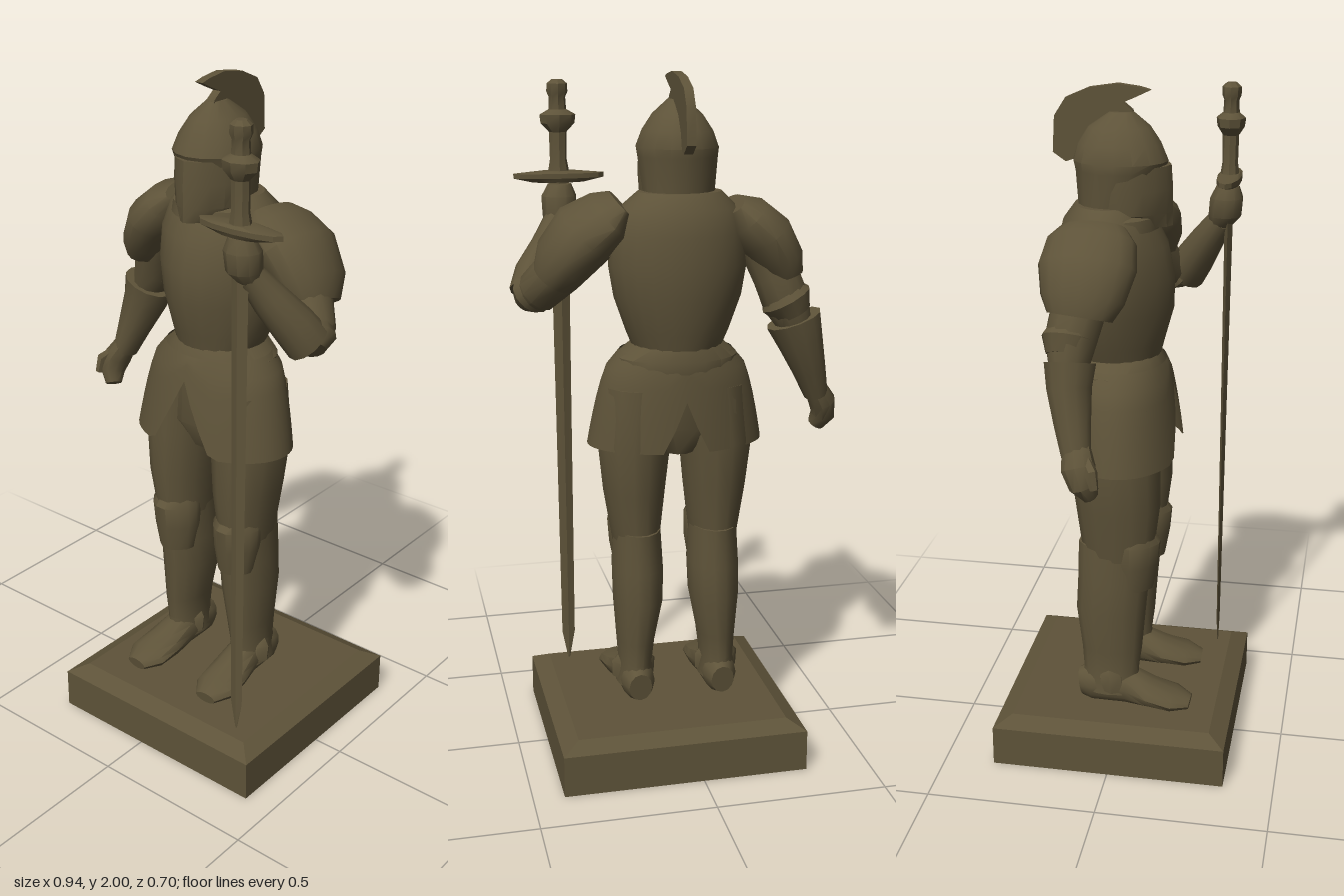
import * as THREE from 'three';
import { toCreasedNormals } from 'three/addons/utils/BufferGeometryUtils.js';

const bronze = new THREE.MeshStandardMaterial({ color: 0x5e5339, side: THREE.DoubleSide });
bronze.name = 'bronze';

function add(group, name, geometry, crease = 0.7) {
  const mesh = new THREE.Mesh(toCreasedNormals(geometry, crease), bronze);
  mesh.name = name;
  group.add(mesh);
  return mesh;
}

// Skin over elliptical sections [x, y, z, halfWidth, halfDepth, prow].
// Sections lie flat, or across the path when follow is true.
function loft(sections, { n = 14, follow = false } = {}) {
  const pos = [], idx = [];
  const at = (i) => new THREE.Vector3(...sections[i].slice(0, 3));
  const last = sections.length - 1;
  sections.forEach(([x, y, z, a, b, prow = 0], i) => {
    const t = follow ? at(Math.min(i + 1, last)).sub(at(Math.max(i - 1, 0))).normalize() : new THREE.Vector3(0, 1, 0);
    const X = new THREE.Vector3(1, 0, 0).addScaledVector(t, -t.x).normalize();
    const Z = X.clone().cross(t);
    for (let j = 0; j < n; j++) {
      const ang = j / n * Math.PI * 2, s = Math.sin(ang);
      const p = new THREE.Vector3(x, y, z).addScaledVector(X, Math.cos(ang) * a)
        .addScaledVector(Z, s * b + prow * Math.max(0, s) ** 6);
      pos.push(p.x, p.y, p.z);
    }
  });
  for (let i = 0; i < last; i++) for (let j = 0; j < n; j++) {
    const a = i * n + j, b = i * n + (j + 1) % n;
    idx.push(a, a + n, b, b, a + n, b + n);
  }
  [0, last].forEach((i, end) => {
    const c = pos.length / 3;
    pos.push(...sections[i].slice(0, 3));
    for (let j = 0; j < n; j++) {
      const a = i * n + j, b = i * n + (j + 1) % n;
      idx.push(c, end ? b : a, end ? a : b);
    }
  });
  const g = new THREE.BufferGeometry();
  g.setAttribute('position', new THREE.Float32BufferAttribute(pos, 3));
  g.setIndex(idx);
  g.computeVertexNormals();
  return g;
}
const limb = (sections, n = 12) => loft(sections, { n, follow: true });

// Flared skirt shell with an inverted V notch at front and back
function skirt() {
  const g = new THREE.CylinderGeometry(1, 1, 1, 48, 6, true);
  const p = g.attributes.position;
  for (let i = 0; i < p.count; i++) {
    const ang = Math.atan2(p.getX(i), p.getZ(i)), v = 0.5 - p.getY(i);
    const front = Math.max(0, 1 - Math.abs(ang) / 0.42);
    const back = Math.max(0, 1 - (Math.PI - Math.abs(ang)) / 0.25);
    const bottom = 0.94 + 0.21 * front + 0.15 * back;
    const y = 1.22 + (bottom - 1.22) * v, k = (1.22 - y) / 0.28;
    const flare = Math.sqrt(k);
    p.setXYZ(i, 0.01 + Math.sin(ang) * (0.165 + 0.095 * flare), y,
      -0.015 + 0.02 * k + Math.cos(ang) * (0.135 + 0.035 * flare));
  }
  g.computeVertexNormals();
  return g;
}

export function createModel() {
  const model = new THREE.Group();
  model.name = 'armouredStatue';

  // Plinth with a bevelled top
  const plinth = new THREE.CylinderGeometry(1, 1, 1, 4, 2);
  plinth.rotateY(Math.PI / 4);
  const pp = plinth.attributes.position;
  for (let i = 0; i < pp.count; i++) {
    const level = Math.round((pp.getY(i) + 0.5) * 2);
    const inset = level === 2 ? 0.05 : 0;
    const sx = Math.sign(Math.round(pp.getX(i) * 10)), sz = Math.sign(Math.round(pp.getZ(i) * 10));
    pp.setXYZ(i, 0.05 + sx * (0.36 - inset), [0, 0.122, 0.148][level], sz * (0.35 - inset));
  }
  add(model, 'plinth', plinth, 0.2);

  // Legs, knee guards and feet
  for (const s of [1, -1]) {
    const leg = new THREE.Group();
    leg.name = s > 0 ? 'leftLeg' : 'rightLeg';
    leg.position.x = 0.013;
    model.add(leg);
    const sec = (list) => list.map(([x, ...r]) => [s * x, ...r]);
    add(leg, 'thigh', loft(sec([[0.105, 1.12, -0.01, 0.11, 0.13], [0.122, 0.95, -0.01, 0.108, 0.135],
      [0.122, 0.8, 0, 0.092, 0.125], [0.118, 0.64, 0, 0.07, 0.105]])));
    add(leg, 'greave', loft(sec([[0.116, 0.68, -0.01, 0.07, 0.11], [0.116, 0.56, -0.015, 0.077, 0.108],
      [0.117, 0.46, -0.022, 0.075, 0.106], [0.125, 0.33, -0.018, 0.057, 0.092],
      [0.127, 0.26, -0.02, 0.05, 0.085], [0.128, 0.19, -0.02, 0.057, 0.09]])));
    add(leg, 'kneeGuard', loft(sec([[0.115, 0.54, 0.045, 0.06, 0.052, 0.01], [0.116, 0.62, 0.045, 0.074, 0.062, 0.015],
      [0.118, 0.69, 0.045, 0.077, 0.068, 0.015], [0.118, 0.725, 0.04, 0.06, 0.06]])));
    add(leg, 'foot', limb(sec([[0.127, 0.2, -0.115, 0.035, 0.045], [0.127, 0.205, -0.08, 0.05, 0.06],
      [0.127, 0.205, 0.03, 0.055, 0.06], [0.132, 0.187, 0.1, 0.065, 0.043],
      [0.138, 0.175, 0.175, 0.068, 0.03], [0.14, 0.167, 0.225, 0.035, 0.018]])));
    add(leg, 'ankleWing', loft(sec([[0.13, 0.2, -0.01, 0.064, 0.05], [0.13, 0.25, -0.015, 0.066, 0.045],
      [0.13, 0.275, -0.02, 0.045, 0.03]]), { n: 8 }));
  }

  // Hips, tassets and waist
  add(model, 'hips', loft([[0.01, 0.92, -0.01, 0.06, 0.09], [0.01, 1.0, -0.01, 0.17, 0.125], [0.01, 1.2, -0.015, 0.155, 0.125]]));
  add(model, 'tassets', skirt());
  add(model, 'waistFlange', loft([[0.01, 1.17, -0.015, 0.18, 0.147], [0.01, 1.205, -0.02, 0.178, 0.145],
    [0.01, 1.25, -0.025, 0.125, 0.125]], { n: 20 }));

  // Cuirass and neck
  add(model, 'cuirass', loft([[0.01, 1.22, -0.025, 0.125, 0.125], [0.01, 1.28, -0.03, 0.15, 0.135, 0.01],
    [0.01, 1.38, -0.035, 0.185, 0.152, 0.025], [0.01, 1.47, -0.037, 0.2, 0.155, 0.025],
    [0.01, 1.56, -0.04, 0.195, 0.148, 0.015], [0.008, 1.63, -0.045, 0.17, 0.128],
    [0.005, 1.675, -0.045, 0.12, 0.095]], { n: 24 }), 0.6);
  add(model, 'neckRim', loft([[0.005, 1.61, -0.015, 0.14, 0.115], [0.005, 1.645, -0.015, 0.135, 0.11],
    [0.005, 1.66, -0.015, 0.1, 0.09]], { n: 18 }));

  // Helmet: pointed face guard, stepped brow and domed skull
  add(model, 'faceGuard', loft([[0.005, 1.615, 0.01, 0.07, 0.09, 0.035], [0.005, 1.655, 0, 0.105, 0.105, 0.03],
    [0.005, 1.72, -0.005, 0.11, 0.115, 0.025], [0.005, 1.785, -0.005, 0.108, 0.115, 0.02]], { n: 20 }), 0.5);
  add(model, 'skull', loft([[0.005, 1.65, -0.035, 0.1, 0.095], [0.005, 1.77, -0.015, 0.114, 0.125],
    [0.005, 1.795, -0.012, 0.117, 0.134], [0.005, 1.84, -0.015, 0.1, 0.118],
    [0.005, 1.885, -0.015, 0.07, 0.088], [0.005, 1.925, -0.01, 0.025, 0.035]], { n: 16 }), 0.6);
  const crest = new THREE.Shape([[0.07, 1.984], [0.04, 1.992], [-0.02, 2], [-0.1, 1.988], [-0.165, 1.96],
    [-0.197, 1.91], [-0.202, 1.81], [-0.165, 1.785], [-0.125, 1.8], [-0.05, 1.87], [0.03, 1.9],
    [0.02, 1.93], [-0.005, 1.95], [0.03, 1.965]].map(([z, y]) => new THREE.Vector2(z, y)));
  const crestGeo = new THREE.ExtrudeGeometry(crest, { depth: 0.026, bevelEnabled: false });
  crestGeo.translate(0, 0, -0.013).rotateY(-Math.PI / 2).translate(0.008, 0, 0);
  add(model, 'crest', crestGeo);

  // Right arm, hanging
  const right = new THREE.Group();
  right.name = 'rightArm';
  model.add(right);
  add(right, 'pauldron', limb([[-0.145, 1.635, -0.06, 0.035, 0.09], [-0.18, 1.6, -0.06, 0.07, 0.125],
    [-0.235, 1.545, -0.06, 0.082, 0.135], [-0.28, 1.47, -0.065, 0.072, 0.115], [-0.295, 1.425, -0.07, 0.055, 0.09]], 16));
  add(right, 'upperArm', limb([[-0.22, 1.55, -0.06, 0.07, 0.08], [-0.27, 1.43, -0.08, 0.068, 0.075],
    [-0.295, 1.36, -0.095, 0.07, 0.072], [-0.325, 1.29, -0.095, 0.05, 0.055]]));
  add(right, 'elbowGuard', limb([[-0.275, 1.4, -0.095, 0.05, 0.055], [-0.295, 1.365, -0.1, 0.077, 0.075],
    [-0.315, 1.325, -0.1, 0.055, 0.06]]));
  add(right, 'gauntletCuff', limb([[-0.322, 1.305, -0.092, 0.083, 0.072], [-0.345, 1.24, -0.09, 0.068, 0.063],
    [-0.378, 1.15, -0.075, 0.05, 0.052], [-0.405, 1.07, -0.06, 0.036, 0.042]]));
  add(right, 'hand', limb([[-0.402, 1.09, -0.06, 0.033, 0.04], [-0.428, 1.045, -0.05, 0.04, 0.048],
    [-0.437, 1.0, -0.035, 0.036, 0.04], [-0.42, 0.965, -0.02, 0.025, 0.025]], 10));
  add(right, 'thumb', limb([[-0.425, 1.07, -0.03, 0.016, 0.016], [-0.455, 1.045, -0.01, 0.018, 0.018],
    [-0.462, 1.0, 0, 0.012, 0.012]], 6));

  // Left arm, bent up to the sword
  const left = new THREE.Group();
  left.name = 'leftArm';
  model.add(left);
  add(left, 'pauldron', limb([[0.175, 1.645, -0.035, 0.035, 0.09], [0.21, 1.61, -0.03, 0.07, 0.13],
    [0.275, 1.56, -0.02, 0.09, 0.143], [0.335, 1.485, -0.005, 0.08, 0.125], [0.36, 1.435, 0.01, 0.06, 0.09]], 16));
  add(left, 'upperArm', limb([[0.25, 1.55, -0.02, 0.075, 0.085], [0.34, 1.45, 0.02, 0.07, 0.075],
    [0.395, 1.385, 0.07, 0.065, 0.065], [0.415, 1.36, 0.1, 0.04, 0.04]]));
  add(left, 'elbowGuard', limb([[0.385, 1.405, 0.05, 0.045, 0.045], [0.41, 1.375, 0.09, 0.066, 0.062],
    [0.432, 1.35, 0.115, 0.035, 0.035]]));
  add(left, 'gauntletCuff', limb([[0.415, 1.37, 0.115, 0.06, 0.065], [0.39, 1.425, 0.15, 0.062, 0.06],
    [0.345, 1.5, 0.195, 0.05, 0.05], [0.315, 1.565, 0.235, 0.038, 0.038]]));
  add(left, 'hand', loft([[0.315, 1.545, 0.235, 0.03, 0.03], [0.305, 1.58, 0.248, 0.048, 0.05],
    [0.303, 1.635, 0.252, 0.052, 0.05], [0.3, 1.67, 0.255, 0.035, 0.035]], { n: 10 }));

  // Sword standing on its point
  const sword = new THREE.Group();
  sword.name = 'sword';
  sword.position.set(0.301, 0, 0.26);
  model.add(sword);
  add(sword, 'blade', loft([[0, 0.15, 0, 0.003, 0.002], [0, 0.24, 0, 0.02, 0.005], [0, 1.0, 0, 0.024, 0.009],
    [0, 1.69, 0, 0.028, 0.013]], { n: 4 }), 0.2);
  add(sword, 'crossguard', loft([[0, 1.675, 0, 0.08, 0.03], [0, 1.687, 0, 0.134, 0.036], [0, 1.701, 0, 0.134, 0.036],
    [0, 1.708, 0, 0.05, 0.03]], { n: 12 }), 0.4);
  add(sword, 'grip', loft([[0, 1.69, 0, 0.034, 0.03], [0, 1.74, 0, 0.025, 0.023], [0, 1.82, 0, 0.026, 0.024],
    [0, 1.845, 0, 0.05, 0.04], [0, 1.87, 0, 0.053, 0.043], [0, 1.885, 0, 0.026, 0.024], [0, 1.92, 0, 0.024, 0.022],
    [0, 1.935, 0, 0.031, 0.028], [0, 1.958, 0, 0.03, 0.028], [0, 1.97, 0, 0.016, 0.015]], { n: 8 }), 0.5);

  return model;
}
